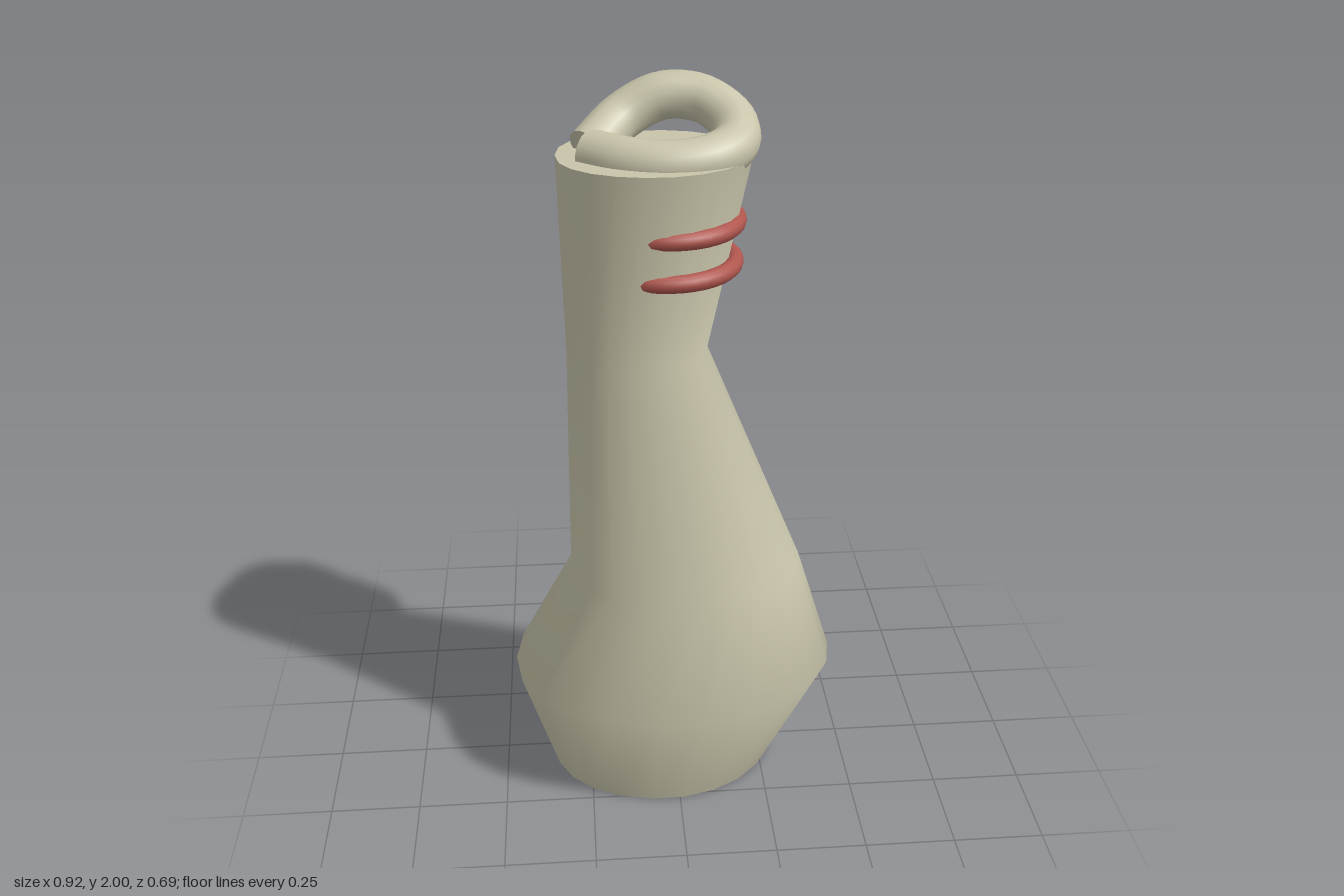
import * as THREE from 'three';

const SEGS = 22;
const clay = new THREE.MeshStandardMaterial({ color: 0xc9c5ab });
const red = new THREE.MeshStandardMaterial({ color: 0xb0564e });

// Cross-sections of the body: y, xMin, xMax, half depth
const SECTIONS = [
  [0, -0.36, 0.29, 0.27],
  [0.33, -0.46, 0.46, 0.35],
  [0.65, -0.29, 0.36, 0.25],
  [1.31, -0.28, 0.09, 0.16],
  [1.83, -0.29, 0.2, 0.202],
];

// Point on an oval that is blunt on -x and slightly pointed on +x
function ovalPoint([y, x0, x1, depth], i) {
  const t = (i / SEGS) * Math.PI * 2;
  const c = Math.cos(t), s = Math.sin(t);
  const p = c < 0 ? 0.87 : 1.05;
  const x = (x0 + x1) / 2 + ((x1 - x0) / 2) * c;
  return [x, y, depth * Math.sign(s) * Math.pow(Math.abs(s), p)];
}

function geometryFrom(pos, idx) {
  const g = new THREE.BufferGeometry();
  g.setAttribute('position', new THREE.Float32BufferAttribute(pos, 3));
  g.setIndex(idx);
  g.computeVertexNormals();
  return g;
}

// Smooth skin through all sections
function bodySkin() {
  const pos = [], idx = [];
  SECTIONS.forEach((sec) => {
    for (let i = 0; i < SEGS; i++) pos.push(...ovalPoint(sec, i));
  });
  for (let r = 0; r < SECTIONS.length - 1; r++) {
    for (let i = 0; i < SEGS; i++) {
      const j = (i + 1) % SEGS;
      const a = r * SEGS + i, b = r * SEGS + j;
      idx.push(a, a + SEGS, b, b, a + SEGS, b + SEGS);
    }
  }
  return geometryFrom(pos, idx);
}

// Flat cap closing one section
function cap(sec, up) {
  const pos = [(sec[1] + sec[2]) / 2, sec[0], 0], idx = [];
  for (let i = 0; i < SEGS; i++) {
    pos.push(...ovalPoint(sec, i));
    const a = i + 1, b = ((i + 1) % SEGS) + 1;
    idx.push(0, up ? b : a, up ? a : b);
  }
  return geometryFrom(pos, idx);
}

export function createModel() {
  const model = new THREE.Group();
  model.name = 'bottle';
  const add = (name, geometry, material) => {
    const mesh = new THREE.Mesh(geometry, material);
    mesh.name = name;
    model.add(mesh);
    return mesh;
  };

  add('body', bodySkin(), clay);
  add('base', cap(SECTIONS[0], false), clay);
  add('neckTop', cap(SECTIONS[4], true), clay);

  // Two bands, set off-centre so they sink into the neck on the -x side
  [['lowerBand', 1.552, -0.017, -0.003], ['upperBand', 1.662, -0.012, 0]].forEach(([name, y, x, z]) => {
    const band = add(name, new THREE.TorusGeometry(0.174, 0.023, 12, 40), red);
    band.rotation.x = Math.PI / 2;
    band.position.set(x, y, z);
  });

  // Tilted loop on top, its two ends meeting on the -x side
  const path = new THREE.CatmullRomCurve3([
    [-0.205, 1.835, -0.015], [-0.12, 1.895, -0.1], [-0.02, 1.94, -0.118],
    [0.08, 1.935, -0.1], [0.148, 1.895, -0.04], [0.15, 1.86, 0.03],
    [0.09, 1.84, 0.088], [-0.02, 1.83, 0.106], [-0.12, 1.832, 0.075],
    [-0.205, 1.835, 0.01],
  ].map((p) => new THREE.Vector3(...p)));
  add('loop', new THREE.TubeGeometry(path, 48, 0.06, 14, false), clay);

  // Flat ends of the loop
  [0, 1].forEach((t) => {
    const end = add('loopEnd', new THREE.CircleGeometry(0.06, 14), clay);
    const outward = path.getTangent(t).multiplyScalar(t ? 1 : -1);
    end.quaternion.setFromUnitVectors(new THREE.Vector3(0, 0, 1), outward);
    end.position.copy(path.getPoint(t));
  });

  return model;
}
